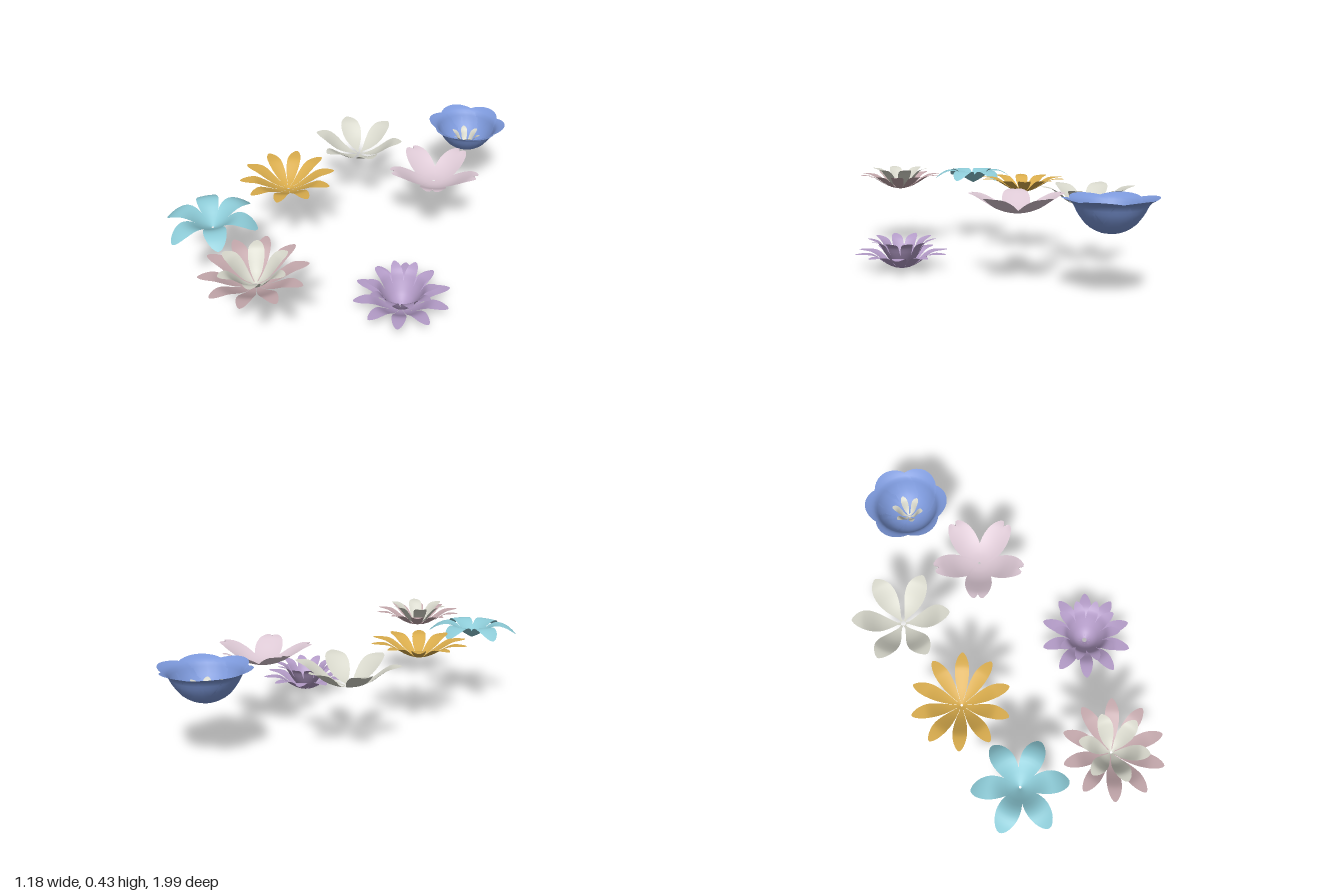
import * as THREE from 'three';

const WHITE = 0xd6d6ca;

// One petal pointing to -z, following a [radius, height] profile and wrapped round the flower axis.
// w: half width, peak: exponent moving the widest point outwards, round: bluntness, cut: blunt end, notch: tip cleft
function petalGeometry({ profile, w, peak = 1.6, round = 0.6, cut = 1, notch = 0 }) {
  const NU = 18, NV = 8;
  const curve = new THREE.SplineCurve(profile.map(([r, y]) => new THREE.Vector2(r, y)));
  const r0 = profile[0][0], r1 = profile[profile.length - 1][0];
  const pos = [], index = [];
  for (let i = 0; i <= NU; i++) {
    const s = Math.sin((i / NU) * Math.PI / 2);
    const p = curve.getPoint(s);
    const t = cut * (p.x - r0) / (r1 - r0);
    const wave = Math.max(0, Math.sin(Math.PI * Math.pow(Math.max(t, 0), peak)));
    // narrow root that blends into the blade
    const half = Math.max(w * Math.pow(wave, round), 0.006 * (1 - s));
    for (let j = 0; j <= NV; j++) {
      const v = (j / NV) * 2 - 1;
      const r = p.x - notch * Math.pow(s, 12) * Math.max(0, 1 - Math.abs(v) / 0.4);
      const a = Math.max(-1.1, Math.min(1.1, v * half / p.x));
      pos.push(r * Math.sin(a), p.y, -r * Math.cos(a));
    }
  }
  const row = NV + 1;
  for (let i = 0; i < NU; i++) {
    for (let j = 0; j < NV; j++) {
      const a = i * row + j, b = a + row;
      index.push(a, a + 1, b, a + 1, b + 1, b);
    }
  }
  const g = new THREE.BufferGeometry();
  g.setAttribute('position', new THREE.Float32BufferAttribute(pos, 3));
  g.setIndex(index);
  g.computeVertexNormals();
  return g;
}

// A ring of equal petals; turn is in degrees
function petalRing(name, color, count, turn, shape) {
  const ring = new THREE.Group();
  ring.name = name;
  const geometry = petalGeometry(shape);
  const material = new THREE.MeshStandardMaterial({ color, side: THREE.DoubleSide });
  for (let i = 0; i < count; i++) {
    const petal = new THREE.Mesh(geometry, material);
    petal.name = 'petal';
    petal.rotation.y = -THREE.MathUtils.degToRad(turn) - (i / count) * Math.PI * 2;
    ring.add(petal);
  }
  return ring;
}

function flower(name, x, z, ...rings) {
  const g = new THREE.Group();
  g.name = name;
  g.position.set(x, 0, z);
  g.add(...rings);
  return g;
}

export function createModel() {
  const model = new THREE.Group();
  model.name = 'flowers';

  // Deep blue cup with a small pale centre
  model.add(flower('blueCupFlower', -0.034, -0.796,
    petalRing('cupPetals', 0x7c98da, 6, 0, {
      profile: [[0.006, 0.27], [0.05, 0.275], [0.1, 0.305], [0.135, 0.35], [0.16, 0.395], [0.202, 0.417]],
      w: 0.125, peak: 1.5, round: 0.5 }),
    petalRing('centrePetals', WHITE, 6, 13, {
      profile: [[0.006, 0.275], [0.03, 0.292], [0.055, 0.335], [0.077, 0.35]], w: 0.017 })));

  // White flower with six spoon-shaped petals
  model.add(flower('whiteFlower', -0.377, -0.31,
    petalRing('whitePetals', WHITE, 6, 0, {
      profile: [[0.012, 0.296], [0.06, 0.305], [0.11, 0.328], [0.16, 0.368], [0.19, 0.387], [0.23, 0.395]],
      w: 0.053, peak: 1.6, round: 0.7 })));

  // Pale pink flower with notched petals
  model.add(flower('notchedPinkFlower', 0.1, -0.356,
    petalRing('notchedPetals', 0xdcc8d4, 5, 0, {
      profile: [[0.006, 0.313], [0.05, 0.317], [0.1, 0.335], [0.15, 0.365], [0.19, 0.387], [0.222, 0.395]],
      w: 0.067, peak: 1.25, round: 0.5, cut: 0.96, notch: 0.024 })));

  // Golden flower with ten slim petals
  model.add(flower('goldenFlower', -0.377, 0.193,
    petalRing('goldenPetals', 0xd9ac4c, 10, 0, {
      profile: [[0.006, 0.317], [0.06, 0.335], [0.11, 0.363], [0.15, 0.386], [0.18, 0.393], [0.23, 0.395]],
      w: 0.033, peak: 1.5 })));

  // Cyan flower whose petals arch over and droop
  model.add(flower('cyanFlower', -0.377, 0.654,
    petalRing('archedPetals', 0x8ccad6, 6, 0, {
      profile: [[0.006, 0.335], [0.05, 0.36], [0.1, 0.395], [0.14, 0.405], [0.18, 0.391], [0.218, 0.36]],
      w: 0.052, peak: 1.4, round: 0.55 })));

  // Two-tone flower: dusty pink ring round upright white petals
  model.add(flower('twoToneFlower', 0.05, 0.762,
    petalRing('outerPetals', 0xc4a8ac, 10, 0, {
      profile: [[0.006, 0.315], [0.06, 0.328], [0.11, 0.355], [0.15, 0.38], [0.18, 0.391], [0.231, 0.395]],
      w: 0.033, peak: 1.5 }),
    petalRing('innerPetals', WHITE, 6, 16, {
      profile: [[0.006, 0.317], [0.05, 0.343], [0.09, 0.39], [0.12, 0.42], [0.157, 0.429]],
      w: 0.036, peak: 1.5 })));

  // Purple flower: low outer ring and taller inner ring
  model.add(flower('purpleFlower', 0.372, 0.193,
    petalRing('outerPetals', 0xb49cc8, 10, 0, {
      profile: [[0.012, 0.002], [0.05, 0.013], [0.09, 0.036], [0.13, 0.066], [0.165, 0.079], [0.228, 0.08]],
      w: 0.033, peak: 1.4 }),
    petalRing('innerPetals', 0xb49cc8, 10, 18, {
      profile: [[0.012, 0.005], [0.05, 0.03], [0.085, 0.08], [0.115, 0.127], [0.165, 0.146]],
      w: 0.028, peak: 1.4 })));

  return model;
}
